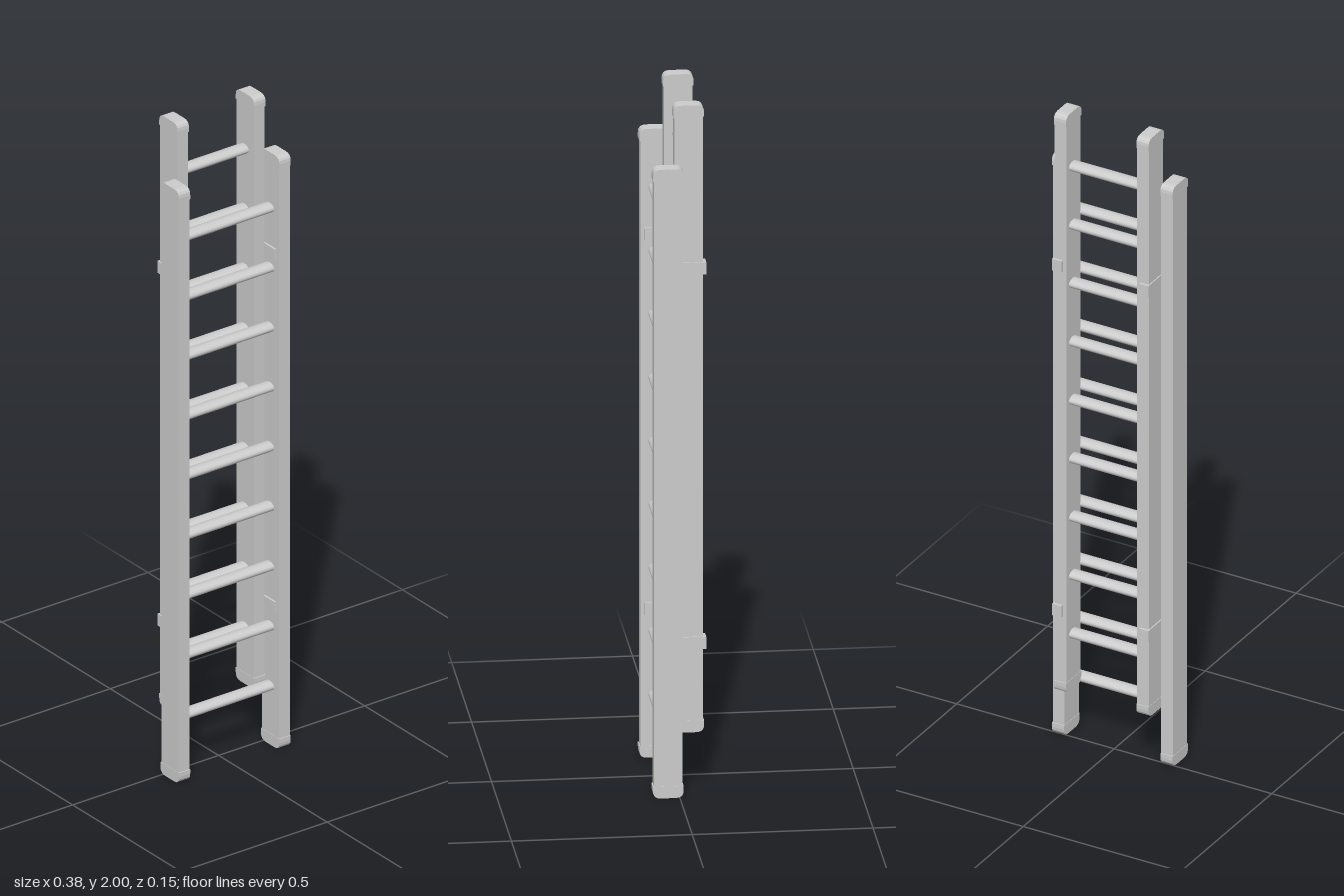
import * as THREE from 'three';

const material = new THREE.MeshStandardMaterial({ color: 0xcccccc });

function add(parent, geometry, name, x, y, z) {
  const mesh = new THREE.Mesh(geometry, material);
  mesh.name = name;
  mesh.position.set(x, y, z);
  parent.add(mesh);
  return mesh;
}

// End cap: a side profile with two rounded corners on top, extruded across the rail.
function capGeometry(width, depth, height, radius) {
  const h = depth / 2;
  const s = new THREE.Shape();
  s.moveTo(-h, 0);
  s.lineTo(h, 0);
  s.lineTo(h, height - radius);
  s.quadraticCurveTo(h, height, h - radius, height);
  s.lineTo(-h + radius, height);
  s.quadraticCurveTo(-h, height, -h, height - radius);
  s.closePath();
  const g = new THREE.ExtrudeGeometry(s, { depth: width, bevelEnabled: false, curveSegments: 4 });
  return g.translate(0, 0, -width / 2).rotateY(Math.PI / 2);
}

const CAP = 0.034;

// One ladder section: two capped rails and a run of oval rungs.
function ladderSection({ name, railX, z, bottom, top, rungZ, firstRung }) {
  const section = new THREE.Group();
  section.name = name;
  const bodyHeight = top - bottom - 2 * CAP;
  const body = new THREE.BoxGeometry(0.037, bodyHeight, 0.079);
  const cap = capGeometry(0.039, 0.085, CAP, 0.021);

  for (const side of [-1, 1]) {
    const x = side * railX;
    add(section, body, 'rail', x, (bottom + top) / 2, z);
    add(section, cap, 'topCap', x, top - CAP, z);
    add(section, cap, 'bottomCap', x, bottom + CAP, z).rotation.x = Math.PI;
  }

  // Rungs are deeper than they are tall
  const rung = new THREE.CylinderGeometry(1, 1, railX * 2 - 0.02, 16);
  rung.rotateZ(Math.PI / 2).scale(1, 0.0135, 0.0215);
  for (let i = 0; i < 9; i++) {
    add(section, rung, 'rung', 0, firstRung + i * 0.1846, rungZ);
  }
  return section;
}

export function createModel() {
  const ladder = new THREE.Group();
  ladder.name = 'extensionLadder';

  ladder.add(ladderSection({
    name: 'frontSection', railX: 0.172, z: 0.032, bottom: 0, top: 1.83,
    rungZ: 0.028, firstRung: 0.183,
  }));
  ladder.add(ladderSection({
    name: 'rearSection', railX: 0.131, z: -0.029, bottom: 0.175, top: 2,
    rungZ: -0.033, firstRung: 0.352,
  }));

  // Guide brackets: a plate between the rails with a lip hooked behind the rear rail
  const plate = new THREE.BoxGeometry(0.006, 0.036, 0.137);
  const lip = new THREE.BoxGeometry(0.03, 0.036, 0.008);
  for (const side of [-1, 1]) {
    for (const y of [0.435, 1.525]) {
      const bracket = new THREE.Group();
      bracket.name = 'guideBracket';
      add(bracket, plate, 'bracketPlate', side * 0.15, y, -0.0085);
      add(bracket, lip, 'bracketLip', side * 0.138, y, -0.073);
      ladder.add(bracket);
    }
  }
  return ladder;
}
